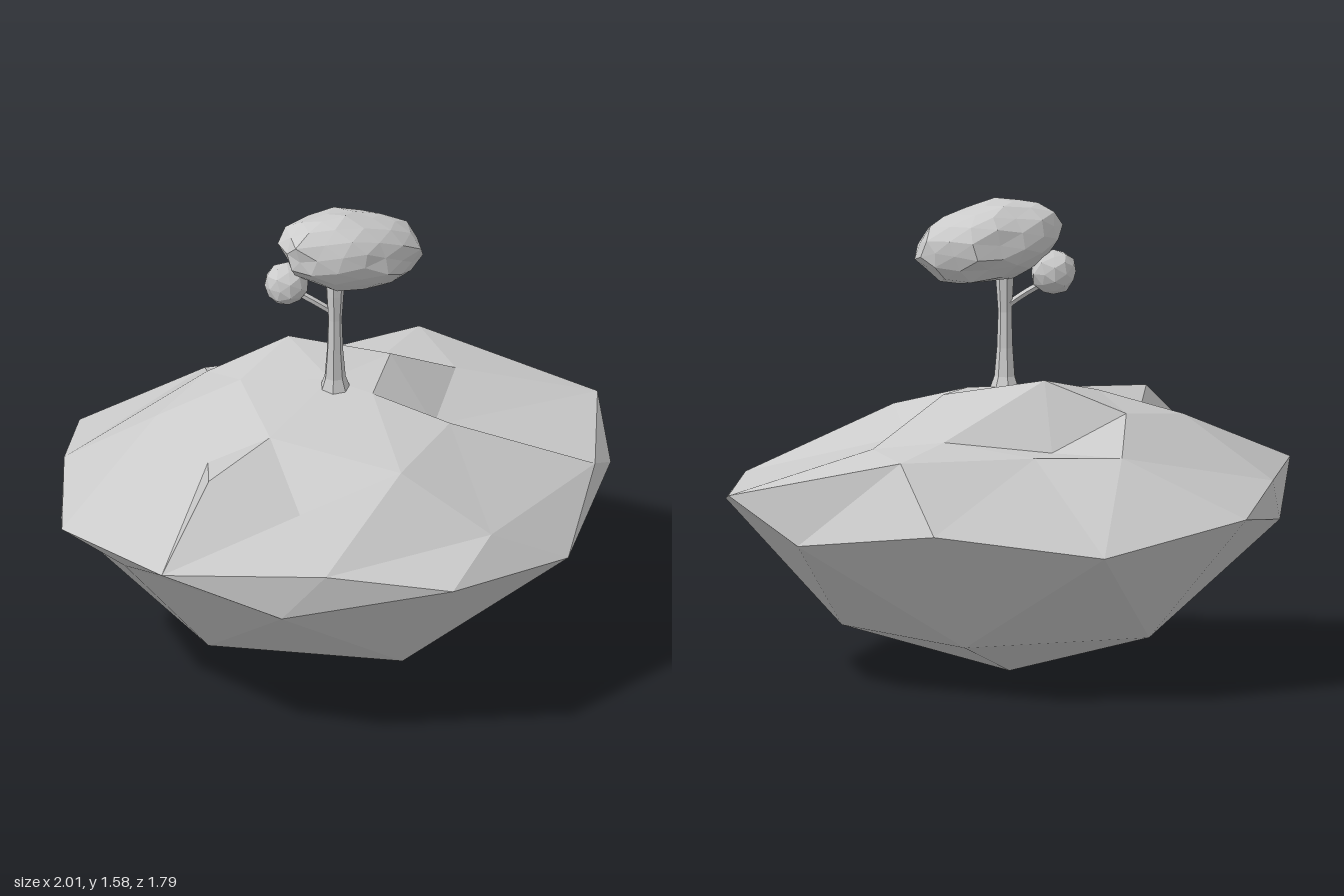
import * as THREE from 'three';

const material = new THREE.MeshStandardMaterial({ color: 0xcccccc, flatShading: true });

function addMesh(parent, name, geometry) {
  const flat = geometry.index ? geometry.toNonIndexed() : geometry;
  flat.computeVertexNormals();
  const mesh = new THREE.Mesh(flat, material);
  mesh.name = name;
  parent.add(mesh);
  return mesh;
}

// A loop of points; each gets a place on a 0..10 dial around the island
const loop = (points, start = 0) =>
  points.map(([x, y, z, place], i) => ({ x, y, z, place: place ?? start + (i * 10) / points.length }));

// A level loop at given radii (repeated in turn)
function levelLoop(count, start, rule) {
  return loop(Array.from({ length: count }, (_, i) => {
    const place = start + (i * 10) / count;
    const { r, y, depth = 1 } = rule(i);
    const angle = (place * Math.PI) / 5;
    return [r * Math.cos(angle), y, r * Math.sin(angle) * depth];
  }), start);
}

// Joins an upper loop to a lower one with triangles, walking both dials together
function stitch(out, upper, lower) {
  const at = (ring, i) => ring[i % ring.length];
  const dial = (ring, i) => at(ring, i).place + 10 * Math.floor(i / ring.length);
  const push = (...corners) => corners.forEach((c) => out.push(c.x, c.y, c.z));
  let a = 0, b = 0;
  while (a + b < upper.length + lower.length) {
    const gap = dial(upper, a + 1) - dial(lower, b + 1);
    if (gap < 0 || (gap === 0 && upper.length < lower.length)) {
      if (upper.length > 1) push(at(upper, a), at(upper, a + 1), at(lower, b));
      a++;
    } else {
      if (lower.length > 1) push(at(upper, a), at(lower, b + 1), at(lower, b));
      b++;
    }
  }
}

function islandGeometry() {
  const R = 1.06;
  const summit = loop([[0, 0.955, 0]]);
  const crown = loop([
    [0.28, 0.955, 0], [0.05, 0.94, 0.155], [-0.38, 0.907, 0.11], [-0.21, 0.95, -0.21], [0.05, 1.01, -0.25],
  ]);
  // Slopes: gully at the front right, knoll on the -x side, cliff at the back
  const slope = loop([
    [0.58, 0.8, 0, 0], [0.25, 0.785, 0.24, 1], [0.18, 0.87, 0.39, 2], [-0.17, 0.85, 0.52, 3],
    [-0.52, 0.77, 0.4, 4], [-0.71, 0.875, 0.16, 4.6], [-0.56, 0.837, 0, 5], [-0.47, 0.86, -0.34, 6],
    [-0.17, 0.897, -0.41, 7], [0.13, 0.79, -0.39, 8], [0.43, 0.83, -0.19, 9],
  ]);
  // Rim, pulled inward and up at the back right
  const rim = levelLoop(10, 0.5, () => ({ r: R * 0.995, y: 0.655, depth: 0.736 }));
  Object.assign(rim[7], { x: 0, y: 0.785, z: -0.6 });
  Object.assign(rim[8], { x: 0.25, y: 0.79, z: -0.45 });
  Object.assign(rim[9], { x: 0.71, y: 0.8, z: -0.31 });
  // Rocky underside
  const belly = levelLoop(10, 0, (i) => (i % 2 ? { r: 0.943, y: 0.586 } : { r: 0.9, y: 0.503 }));
  const keel = levelLoop(5, 1, () => ({ r: 0.557, y: 0.158 }));
  const tip = loop([[0, 0, 0]]);

  const rings = [summit, crown, slope, rim, belly, keel, tip];
  const positions = [];
  for (let i = 0; i + 1 < rings.length; i++) stitch(positions, rings[i], rings[i + 1]);
  const geometry = new THREE.BufferGeometry();
  geometry.setAttribute('position', new THREE.Float32BufferAttribute(positions, 3));
  return geometry;
}

// Faceted leaf clump: a sphere whose corners move in and out by their direction
function foliage(detail, size, roughness) {
  const geometry = new THREE.IcosahedronGeometry(1, detail);
  const p = geometry.attributes.position;
  const v = new THREE.Vector3();
  for (let i = 0; i < p.count; i++) {
    v.fromBufferAttribute(p, i);
    const wobble = Math.sin(v.x * 7.1 + v.y * 3.3) + Math.sin(v.y * 8.7 - v.z * 5.9 + 1) + Math.sin(v.z * 9.3 + v.x * 4.1 + 2);
    v.multiplyScalar(1 + (roughness * wobble) / 3);
    p.setXYZ(i, v.x * size[0], v.y * size[1], v.z * size[2]);
  }
  return geometry;
}

export function createModel() {
  const model = new THREE.Group();
  addMesh(model, 'island', islandGeometry());

  const tree = new THREE.Group();
  tree.name = 'tree';
  model.add(tree);

  // Trunk: flared foot, slender middle, slightly bent
  const profile = [[0, 0.935], [0.052, 0.94], [0.036, 0.985], [0.028, 1.08], [0.024, 1.2], [0.03, 1.29], [0.034, 1.37], [0, 1.37]];
  const trunk = new THREE.LatheGeometry(profile.map(([r, y]) => new THREE.Vector2(r, y)), 7);
  const p = trunk.attributes.position;
  for (let i = 0; i < p.count; i++) {
    const bend = Math.sin((p.getY(i) - 0.94) * 7);
    p.setX(i, p.getX(i) - 0.012 - 0.006 * bend);
    p.setZ(i, p.getZ(i) + 0.038 + 0.006 * bend);
  }
  addMesh(tree, 'trunk', trunk);

  // Side branch reaching back to the small clump
  const path = new THREE.CatmullRomCurve3([
    new THREE.Vector3(-0.015, 1.22, 0.035),
    new THREE.Vector3(-0.06, 1.26, 0),
    new THREE.Vector3(-0.12, 1.31, -0.06),
  ]);
  addMesh(tree, 'branch', new THREE.TubeGeometry(path, 4, 0.012, 5));

  const canopy = addMesh(tree, 'canopy', foliage(2, [0.25, 0.135, 0.145], 0.09));
  canopy.position.set(0.045, 1.44, 0.05);
  canopy.rotation.set(0.25, -0.42, -0.08);

  const clump = addMesh(tree, 'smallClump', foliage(1, [0.08, 0.075, 0.072], 0.08));
  clump.position.set(-0.135, 1.335, -0.065);

  return model;
}
